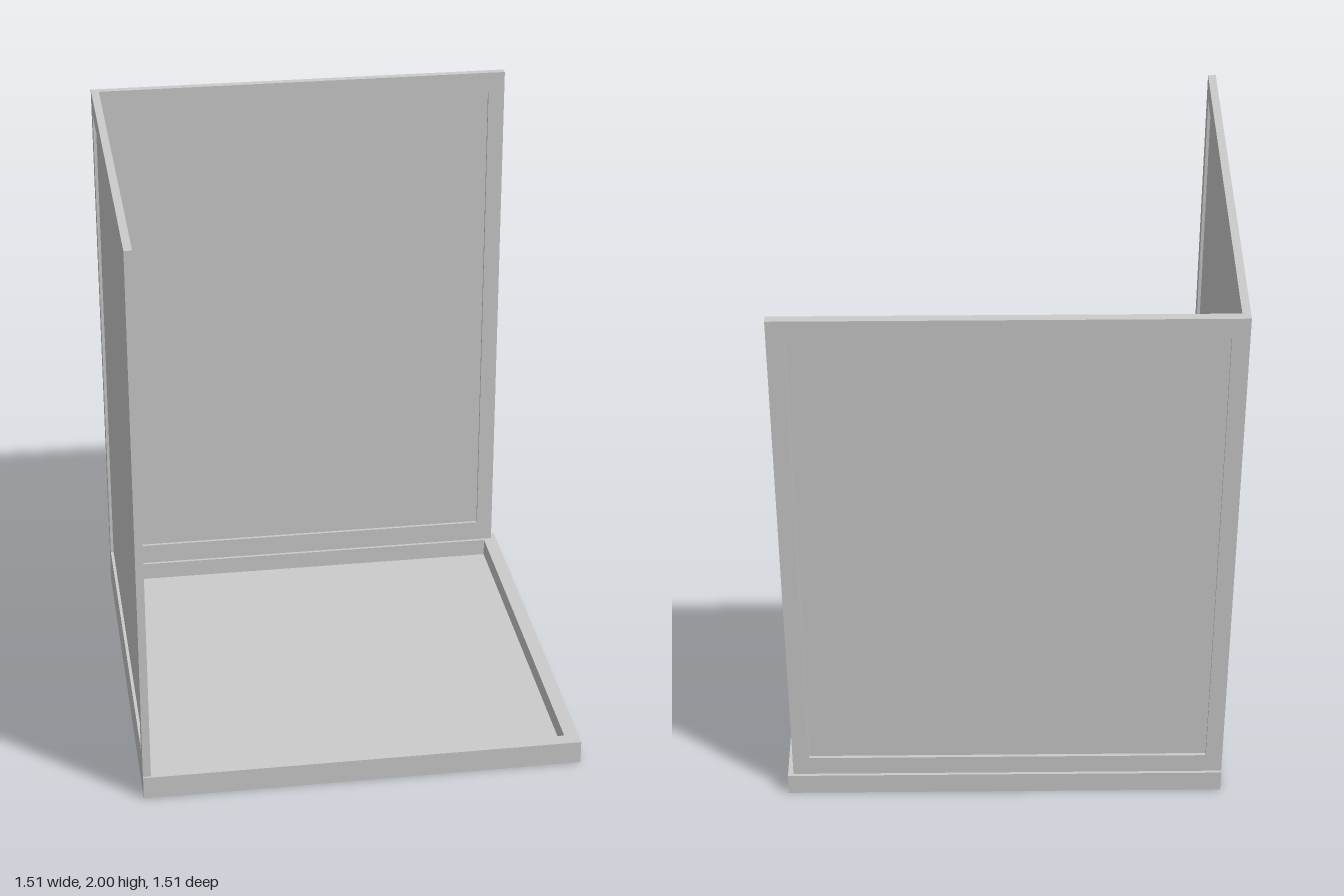
import * as THREE from 'three';

const material = new THREE.MeshStandardMaterial({ color: 0xcccccc });

// Rectangles are given as [x0, y0, x1, y1]
function rectPoints([x0, y0, x1, y1]) {
  return [[x0, y0], [x1, y0], [x1, y1], [x0, y1]].map(([x, y]) => new THREE.Vector2(x, y));
}

// Rectangular frame (or solid panel when no hole is given), z0 to z1 deep
function slab(name, outer, hole, z0, z1) {
  const shape = new THREE.Shape(rectPoints(outer));
  if (hole) shape.holes.push(new THREE.Path(rectPoints(hole)));
  const geometry = new THREE.ExtrudeGeometry(shape, { depth: z1 - z0, bevelEnabled: false });
  geometry.translate(0, 0, z0);
  const mesh = new THREE.Mesh(geometry, material);
  mesh.name = name;
  return mesh;
}

// Frame with a thin pane set in the middle of its thickness
function wall(name, outer, hole, thickness) {
  const group = new THREE.Group();
  group.name = name;
  const mid = thickness / 2;
  group.add(
    slab(name + 'Frame', outer, hole, 0, thickness),
    slab(name + 'Pane', hole, null, mid - 0.003, mid + 0.003)
  );
  return group;
}

export function createModel() {
  const model = new THREE.Group();
  model.name = 'displayCorner';

  // Base tray: rim with a small ledge that carries the floor panel
  const base = new THREE.Group();
  base.name = 'base';
  const square = (h) => [-h, -h, h, h];
  base.add(
    slab('baseLedge', square(0.755), square(0.696), 0, 0.012),
    slab('baseRim', square(0.755), square(0.706), 0.012, 0.082),
    slab('floorPanel', square(0.706), null, 0.012, 0.018)
  );
  base.rotation.x = -Math.PI / 2;
  model.add(base);

  // Back wall covers the full width
  const back = wall('backWall', [-0.755, 0.082, 0.736, 2], [-0.698, 0.157, 0.678, 1.927], 0.028);
  back.position.z = -0.745;
  model.add(back);

  // Side wall butts against the back wall
  const side = wall('sideWall', [-0.717, 0.082, 0.748, 2], [-0.688, 0.157, 0.692, 1.927], 0.027);
  side.rotation.y = -Math.PI / 2;
  side.position.x = -0.728;
  model.add(side);

  return model;
}
